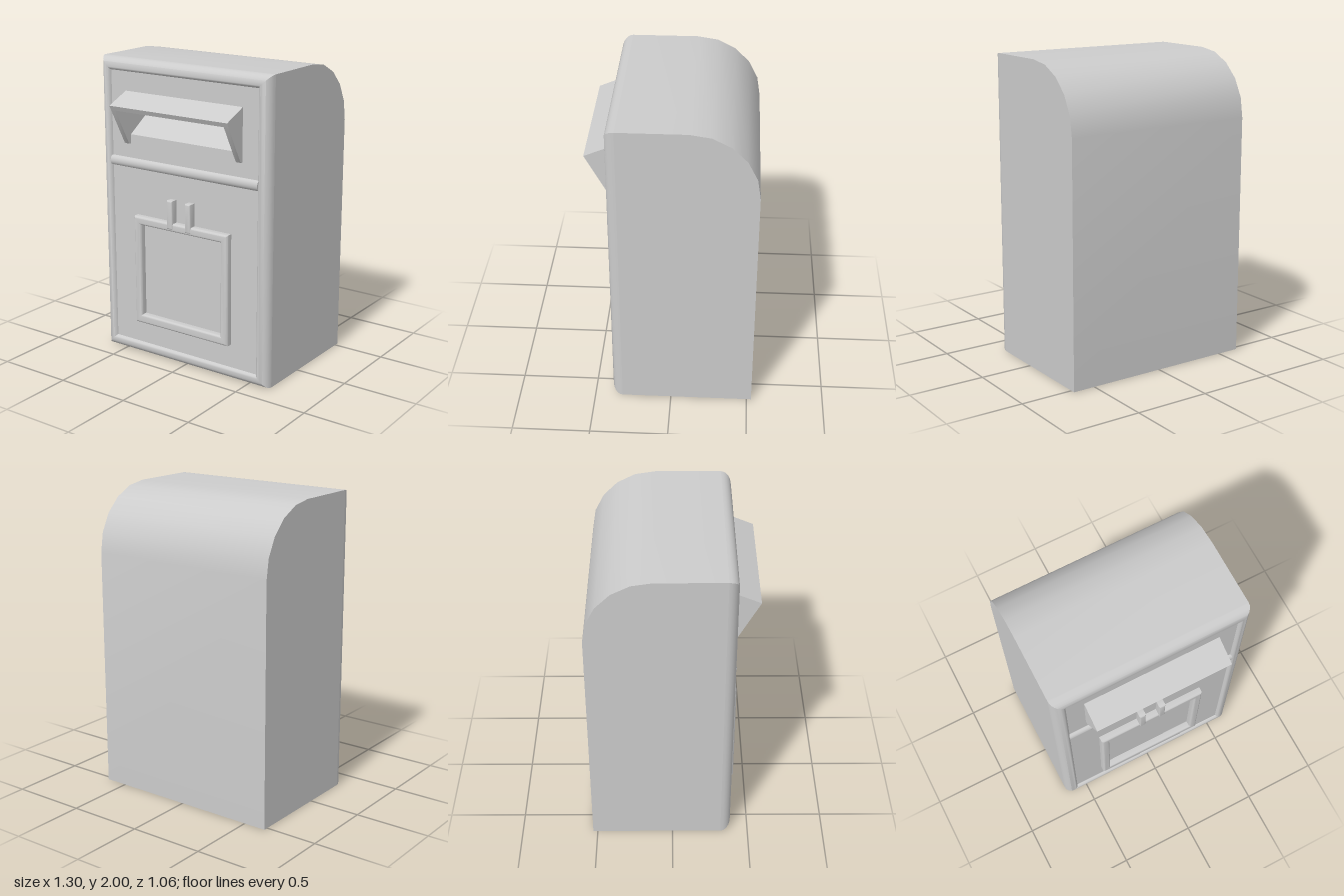
import * as THREE from 'three';
import { toCreasedNormals } from 'three/addons/utils/BufferGeometryUtils.js';

const W = 0.65, H = 2, BACK = -0.53, RIM = 0.32, R = 0.065, PANEL = 0.365;
const material = new THREE.MeshStandardMaterial({ color: 0xcccccc });

function mesh(name, geometry, crease = 0.6) {
  const m = new THREE.Mesh(toCreasedNormals(geometry, crease), material);
  m.name = name;
  return m;
}

// Skin over rows of points; closed joins the last column to the first
function skin(rows, closed = false) {
  const n = rows[0].length, index = [];
  for (let r = 0; r + 1 < rows.length; r++) {
    for (let c = 0; c < (closed ? n : n - 1); c++) {
      const a = r * n + c, b = r * n + (c + 1) % n;
      index.push(a, b, b + n, a, b + n, a + n);
    }
  }
  const g = new THREE.BufferGeometry();
  g.setAttribute('position', new THREE.Float32BufferAttribute(rows.flat(2), 3));
  g.setIndex(index);
  g.computeVertexNormals();
  return g;
}

// Skin a [z, y] profile across the width from -x to x
const across = (profile, x) => skin(profile.map(([z, y]) => [[-x, y, z], [x, y, z]]));

// Flat [z, y] polygon at a given x, facing the side s (+1 or -1)
function sidePlane(profile, s, x) {
  const shape = new THREE.Shape(profile.map(([z, y]) => new THREE.Vector2(-s * z, y)));
  return new THREE.ShapeGeometry(shape).rotateY(s * Math.PI / 2).translate(x, 0, 0);
}

// Solid [z, y] polygon spanning x0 to x1
function prism(profile, x0, x1) {
  const shape = new THREE.Shape(profile.map(([z, y]) => new THREE.Vector2(z, y)));
  return new THREE.ExtrudeGeometry(shape, { depth: x1 - x0, bevelEnabled: false })
    .rotateY(-Math.PI / 2).translate(x1, 0, 0);
}

function rectangle(x0, y0, x1, y1, Type = THREE.Shape) {
  return new Type([[x0, y0], [x1, y0], [x1, y1], [x0, y1]].map(p => new THREE.Vector2(...p)));
}

// Raised relief with rounded edges; b is the edge radius
function relief(shape, top, b) {
  return new THREE.ExtrudeGeometry(shape, {
    depth: top - PANEL, bevelEnabled: true, bevelSize: b, bevelThickness: b, bevelSegments: 4,
  }).translate(0, 0, PANEL - b);
}

export function createModel() {
  const group = new THREE.Group();

  // Body: flat bottom and back, with the rear top edge rounded over
  const profile = [[RIM, H]];
  for (let i = 0; i <= 5; i++) {
    const t = i / 5 * Math.PI / 2;
    profile.push([BACK + 0.42 - 0.42 * Math.sin(t), H - 0.42 + 0.42 * Math.cos(t)]);
  }
  profile.push([BACK, 0], [RIM, 0]);
  group.add(mesh('bodyShell', across(profile, W)));
  for (const s of [1, -1]) group.add(mesh('bodySide', sidePlane(profile, s, s * W)));

  // Rounded rim around the front, stepping down to the panel
  const section = [];
  for (let i = 0; i <= 6; i++) {
    const t = i / 6 * Math.PI / 2;
    section.push([R * (1 - Math.cos(t)), RIM + R * Math.sin(t)]);
  }
  section.push([0.073, 0.381], [0.08, 0.374], [0.084, PANEL]);
  const rings = section.map(([d, z]) => [
    [-W + d, d, z], [W - d, d, z], [W - d, H - d, z], [-W + d, H - d, z]]);
  group.add(mesh('frontRim', skin(rings, true)));

  // Front panel with the slot opening
  const panel = rectangle(-W + 0.084, 0.084, W - 0.084, H - 0.084);
  panel.holes.push(rectangle(-0.415, 1.51, 0.415, 1.75, THREE.Path));
  group.add(mesh('frontPanel', new THREE.ShapeGeometry(panel).translate(0, 0, PANEL)));

  // Slot: a ramp rising inwards under a flat ceiling
  const slot = [[PANEL, 1.51], [0, 1.75], [PANEL, 1.75]];
  group.add(mesh('slotRamp', across(slot, 0.415)));
  for (const s of [1, -1]) group.add(mesh('slotWall', sidePlane(slot, -s, s * 0.415)));

  // Hood: sloping lid with a triangular cheek at each end
  const lid = [[PANEL, 1.79], [0.53, 1.72], [0.514, 1.69], [PANEL, 1.755]];
  group.add(mesh('hoodLid', prism(lid, -0.45, 0.45)));
  const cheek = [[PANEL, 1.79], [0.53, 1.72], [0.388, 1.456], [0.38, 1.45], [PANEL, 1.45]];
  for (const x of [-0.45, 0.415]) group.add(mesh('hoodCheek', prism(cheek, x, x + 0.035)));

  // Rounded bar between the upper and lower panels
  const bar = [];
  for (let i = 0; i <= 8; i++) {
    const t = (i / 8 - 0.5) * Math.PI;
    bar.push([PANEL + 0.024 * Math.cos(t), 1.322 + 0.033 * Math.sin(t)]);
  }
  group.add(mesh('crossBar', prism(bar, -0.572, 0.572)));

  // Notice frame with two upright tabs
  const b = 0.015;
  const frame = rectangle(-0.37 + b, 0.24 + b, 0.37 - b, 0.98 - b);
  frame.holes.push(rectangle(-0.315 - b, 0.3 - b, 0.315 + b, 0.925 + b, THREE.Path));
  group.add(mesh('noticeFrame', relief(frame, 0.41, b)));
  for (const x of [-0.075, 0.067]) {
    const tab = rectangle(x - 0.012, 0.95, x + 0.012, 1.12);
    group.add(mesh('frameTab', relief(tab, 0.415, 0.01)));
  }
  return group;
}
